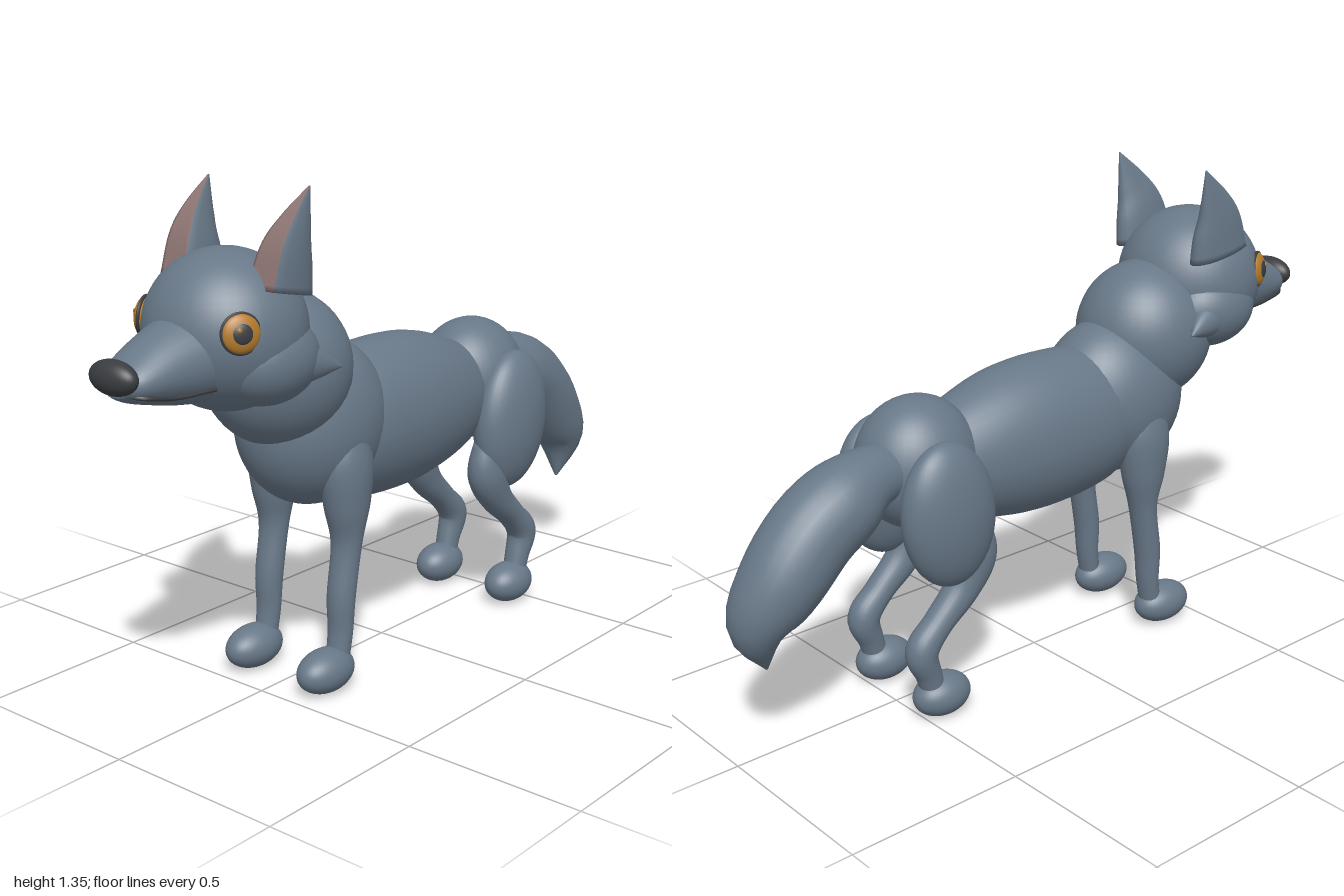
import * as THREE from 'three';

const mat = (name, color) => {
  const m = new THREE.MeshStandardMaterial({ color });
  m.name = name;
  return m;
};

export function createModel() {
  const fur = mat('slate fur', 0x687888);
  const dark = mat('dark nose', 0x3a3d40);
  const amber = mat('amber eye', 0xb57c2c);
  const pink = mat('inner ear', 0x8c7472);
  const model = new THREE.Group();

  const add = (name, geometry, material, parent = model) => {
    const mesh = new THREE.Mesh(geometry, material);
    mesh.name = name;
    parent.add(mesh);
    return mesh;
  };

  const ellipsoid = (name, material, pos, radii, tilt = 0, parent = model) => {
    const mesh = add(name, new THREE.SphereGeometry(1, 40, 28), material, parent);
    mesh.position.set(...pos);
    mesh.scale.set(...radii);
    mesh.rotation.z = tilt;
    return mesh;
  };

  // Closed tube through sections [x, y, z, in-plane radius, sideways radius].
  // flat < 1 cuts the leading side off as a flat face with its own material group.
  const loft = (name, material, sections, { steps = 6, sides = 24, flat = 1 } = {}) => {
    const curve = (f) => new THREE.CatmullRomCurve3(sections.map(f), false, 'catmullrom');
    const centres = curve((s) => new THREE.Vector3(s[0], s[1], s[2]));
    const radii = curve((s) => new THREE.Vector3(s[3], s[4], 0));
    const count = (sections.length - 1) * steps;
    const rings = [];
    for (let i = 0; i <= count; i++) {
      const t = i / count;
      const ring = { c: centres.getPoint(t), d: centres.getTangent(t), r: radii.getPoint(t) };
      const cap = { ...ring, r: new THREE.Vector3() };
      if (i === 0) rings.push(cap);
      rings.push(ring);
      if (i === count) rings.push(cap);
    }
    const position = [];
    for (const { c, d, r } of rings) {
      const len = Math.hypot(d.x, d.y) || 1;
      for (let j = 0; j < sides; j++) {
        const angle = (j / sides) * Math.PI * 2;
        const a = Math.max(r.x, 0) * Math.min(Math.cos(angle), flat);
        position.push(c.x - (d.y / len) * a, c.y + (d.x / len) * a, c.z + Math.max(r.y, 0) * Math.sin(angle));
      }
    }
    const main = [];
    const face = [];
    for (let i = 0; i < rings.length - 1; i++) {
      for (let j = 0; j < sides; j++) {
        const k = (j + 1) % sides;
        const [a, b, c, d] = [i * sides + j, i * sides + k, (i + 1) * sides + j, (i + 1) * sides + k];
        const onFace = flat < 1 && Math.cos(((j + 0.5) / sides) * Math.PI * 2) > flat;
        (onFace ? face : main).push(a, b, c, b, d, c);
      }
    }
    const g = new THREE.BufferGeometry();
    g.setAttribute('position', new THREE.Float32BufferAttribute(position, 3));
    g.setIndex([...main, ...face]);
    if (face.length) {
      g.addGroup(0, main.length, 0);
      g.addGroup(main.length, face.length, 1);
    }
    g.computeVertexNormals();
    return add(name, g, material);
  };

  // Trunk, neck and hips
  loft('torso', fur, [
    [-0.33, 0.67, 0, 0.14, 0.12], [-0.2, 0.665, 0, 0.2, 0.165], [-0.05, 0.662, 0, 0.218, 0.177],
    [0.1, 0.66, 0, 0.213, 0.172], [0.25, 0.655, 0, 0.178, 0.148], [0.4, 0.655, 0, 0.12, 0.1],
  ], { sides: 40 });
  ellipsoid('chest', fur, [-0.29, 0.705, 0], [0.225, 0.228, 0.183]);
  ellipsoid('neck', fur, [-0.42, 0.87, 0], [0.2, 0.205, 0.193]);
  ellipsoid('pelvis', fur, [0.41, 0.68, 0], [0.172, 0.18, 0.155]);

  // Head
  ellipsoid('skull', fur, [-0.6, 1.0, 0], [0.203, 0.203, 0.21]);
  loft('snout', fur, [
    [-0.62, 0.965, 0, 0.14, 0.15], [-0.8, 0.946, 0, 0.1, 0.11],
    [-0.92, 0.93, 0, 0.055, 0.082], [-0.965, 0.93, 0, 0.03, 0.05],
  ], { sides: 32 });
  ellipsoid('nose', dark, [-0.963, 0.947, 0], [0.037, 0.043, 0.075]);

  // Bushy tail, bending down
  loft('tail', fur, [
    [0.48, 0.69, -0.03, 0.07, 0.07], [0.58, 0.69, -0.035, 0.085, 0.082], [0.67, 0.655, -0.04, 0.11, 0.112],
    [0.77, 0.595, -0.04, 0.116, 0.115], [0.865, 0.49, -0.038, 0.11, 0.11],
    [0.93, 0.38, -0.025, 0.078, 0.08], [0.905, 0.25, -0.012, 0.003, 0.004],
  ], { steps: 4 });

  for (const s of [1, -1]) {
    const side = s > 0 ? 'near' : 'far';
    const at = (x, y, z) => [x, y, z * s];
    const name = (part) => side + part;

    // Cheek with a pointed tuft
    ellipsoid(name('Cheek'), fur, at(-0.57, 0.935, 0.105), [0.15, 0.115, 0.118]);
    loft(name('CheekTuft'), fur, [
      [...at(-0.56, 0.93, 0.15), 0.07, 0.06], [...at(-0.47, 0.915, 0.178), 0.04, 0.034],
      [...at(-0.405, 0.9, 0.205), 0.003, 0.003],
    ]);

    // Pointed ear with a flat inner face
    loft(name('Ear'), [fur, pink], [
      [...at(-0.573, 1.105, 0.148), 0.118, 0.05], [...at(-0.553, 1.2, 0.155), 0.093, 0.042],
      [...at(-0.522, 1.27, 0.163), 0.057, 0.026], [...at(-0.475, 1.35, 0.17), 0.002, 0.002],
    ], { flat: 0.5 });

    // Eye, layered outwards from the skull
    const eye = new THREE.Group();
    eye.name = name('Eye');
    eye.position.set(...at(-0.714, 1.03, 0.165));
    eye.lookAt(...at(-0.714 - 0.46, 1.03 + 0.1, 0.165 + 0.88));
    model.add(eye);
    ellipsoid('iris', amber, [0, 0, 0], [0.048, 0.048, 0.02], 0, eye);
    add('eyeRim', new THREE.TorusGeometry(0.047, 0.005, 8, 32), dark, eye);
    ellipsoid('pupil', dark, [0, 0, 0.014], [0.026, 0.026, 0.009], 0, eye);
    ellipsoid('eyeGlint', amber, [-0.009 * s, 0.01, 0.022], [0.006, 0.006, 0.003], 0, eye);

    // Mouth line along the snout
    const mouth = new THREE.CatmullRomCurve3([
      at(-0.962, 0.908, 0.02), at(-0.93, 0.902, 0.067), at(-0.85, 0.888, 0.079), at(-0.74, 0.892, 0.105),
    ].map((p) => new THREE.Vector3(...p)));
    add(name('Mouth'), new THREE.TubeGeometry(mouth, 20, 0.006, 6), dark);

    // Front leg
    loft(name('FrontLeg'), fur, [
      [...at(-0.29, 0.74, 0.12), 0.04, 0.04], [...at(-0.3, 0.62, 0.128), 0.08, 0.064],
      [...at(-0.3, 0.5, 0.13), 0.068, 0.058], [...at(-0.303, 0.39, 0.13), 0.04, 0.043],
      [...at(-0.325, 0.25, 0.13), 0.037, 0.04], [...at(-0.33, 0.15, 0.13), 0.031, 0.036],
      [...at(-0.345, 0.06, 0.13), 0.03, 0.032],
    ]);
    ellipsoid(name('FrontPaw'), fur, at(-0.39, 0.059, 0.13), [0.093, 0.059, 0.062]);

    // Hind leg
    ellipsoid(name('Thigh'), fur, at(0.417, 0.575, 0.142), [0.142, 0.203, 0.08], -0.12);
    loft(name('HindLeg'), fur, [
      [...at(0.33, 0.52, 0.13), 0.05, 0.04], [...at(0.325, 0.43, 0.13), 0.066, 0.052],
      [...at(0.37, 0.345, 0.13), 0.05, 0.046], [...at(0.45, 0.27, 0.13), 0.04, 0.041],
      [...at(0.505, 0.205, 0.13), 0.046, 0.043], [...at(0.485, 0.13, 0.13), 0.036, 0.036],
      [...at(0.465, 0.06, 0.13), 0.034, 0.034],
    ]);
    ellipsoid(name('HindPaw'), fur, at(0.443, 0.059, 0.13), [0.086, 0.059, 0.062]);
  }
  return model;
}
